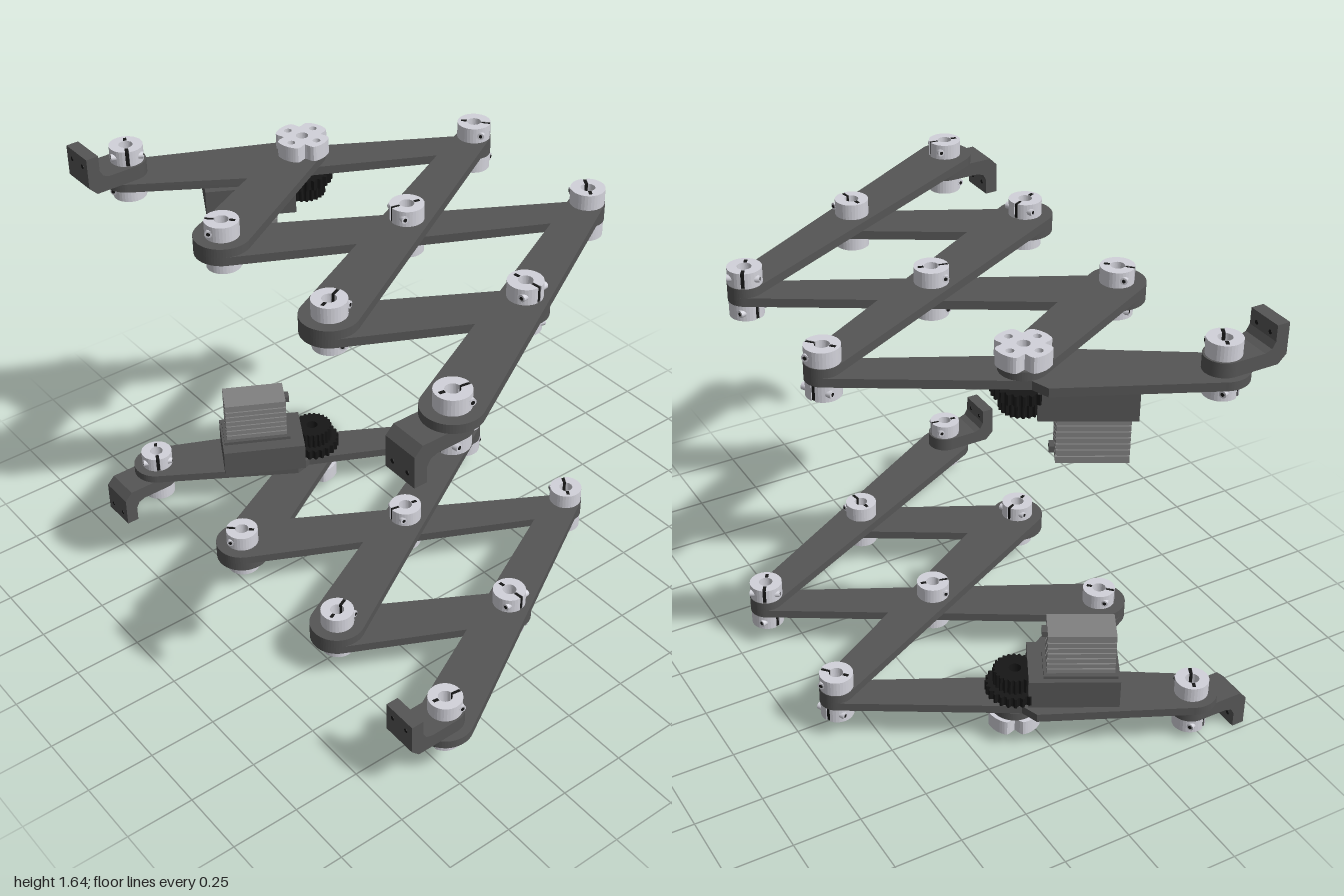
import * as THREE from 'three';

const mat = (color) => new THREE.MeshStandardMaterial({ color });
const DARK = mat(0x555555), LIGHT = mat(0xd2d2da), MID = mat(0x808080), BLACK = mat(0x161616);
const T = 0.032; // thickness of one bar layer
const BORE = 0.022;
const COLLAR_H = 0.057;

function add(parent, name, geo, material, x = 0, y = 0, z = 0) {
  const m = new THREE.Mesh(geo, material);
  m.name = name;
  m.position.set(x, y, z);
  parent.add(m);
  return m;
}

function hole(shape, x, y, r) {
  shape.holes.push(new THREE.Path().absarc(x, y, r, 0, Math.PI * 2, true));
}

// Flat plate lying in xz, rising from y = 0; shape coordinates are (x, -z)
function plate(shape, depth) {
  const g = new THREE.ExtrudeGeometry(shape, { depth, bevelEnabled: false, curveSegments: 16 });
  return g.rotateX(-Math.PI / 2);
}

// Joint grid in plan, [x, z]
const FRONT = [-0.91, -0.31, 0.29, 0.89].map((x) => [x, 0.48]);
const MIDDLE = [-0.61, -0.01, 0.59].map((x) => [x, -0.068]);
const BACK = [-0.31, 0.29].map((x) => [x, -0.618]);

// Tapered bar with round ends and pivot holes
function bar(parent, a, b, ra, rb, y, mid) {
  const ang = Math.atan2(-(b[1] - a[1]), b[0] - a[0]), h = Math.PI / 2;
  const s = new THREE.Shape();
  s.absarc(a[0], -a[1], ra, ang + h, ang + 3 * h, false);
  s.absarc(b[0], -b[1], rb, ang - h, ang + h, false);
  s.closePath();
  for (const p of [a, b, mid]) if (p) hole(s, p[0], -p[1], BORE);
  add(parent, 'linkBar', plate(s, T), DARK, 0, y, 0);
}

// Clamping collar: split ring with a clamp screw and keyway
function collar(parent, p, y, turn) {
  const g = new THREE.Group();
  g.name = 'shaftCollar';
  const s = new THREE.Shape();
  const gap = 0.12, r = 0.06, inner = 0.025;
  s.absarc(0, 0, r, gap, Math.PI * 2 - gap, false);
  s.absarc(0, 0, inner, Math.PI * 2 - gap * 2, gap * 2, true);
  s.closePath();
  add(g, 'collarRing', plate(s, COLLAR_H), LIGHT);
  add(g, 'collarSlot', new THREE.BoxGeometry(0.03, COLLAR_H - 0.004, 0.012), BLACK, 0.042, COLLAR_H / 2, 0);
  add(g, 'collarSlot', new THREE.BoxGeometry(0.02, 0.002, 0.012), BLACK, -0.037, COLLAR_H, 0);
  for (const side of [-1, 1]) {
    const screw = new THREE.CylinderGeometry(0.013, 0.013, 0.02, 12).rotateX(Math.PI / 2);
    add(g, 'clampScrew', screw, LIGHT, 0.034, COLLAR_H / 2, side * 0.046);
    const socket = new THREE.CylinderGeometry(0.007, 0.007, 0.002, 6).rotateX(Math.PI / 2);
    add(g, 'screwSocket', socket, BLACK, 0.034, COLLAR_H / 2, side * 0.0565);
  }
  g.position.set(p[0], y, p[1]);
  g.rotation.y = turn;
  parent.add(g);
}

// Four-lobed drive hub with screw holes
function driveHub(parent, p, y) {
  const s = new THREE.Shape();
  const n = 64;
  for (let i = 0; i < n; i++) {
    const a = (i / n) * Math.PI * 2;
    const r = 0.097 - 0.03 * Math.pow(Math.max(0, -Math.cos(4 * a)), 3);
    s[i ? 'lineTo' : 'moveTo'](r * Math.cos(a), r * Math.sin(a));
  }
  s.closePath();
  hole(s, 0, 0, BORE);
  for (let i = 0; i < 4; i++) {
    const a = (i * Math.PI) / 2;
    hole(s, 0.064 * Math.cos(a), 0.064 * Math.sin(a), 0.014);
  }
  add(parent, 'driveHub', plate(s, COLLAR_H), LIGHT, p[0], y, p[1]).rotation.y = 0.3;
}

// Toothed wheel
function gear(parent, p, y, r, h) {
  const s = new THREE.Shape();
  const teeth = 24;
  for (let i = 0; i < teeth * 4; i++) {
    const a = (i / (teeth * 4)) * Math.PI * 2;
    const q = i % 4 < 2 ? r : r * 0.9;
    s[i ? 'lineTo' : 'moveTo'](q * Math.cos(a), q * Math.sin(a));
  }
  s.closePath();
  hole(s, 0, 0, BORE);
  add(parent, 'gearWheel', plate(s, h), BLACK, p[0], y, p[1]);
}

// Angle bracket: foot on the joint, upright plate at the front
function bracket(parent, p, y, dir) {
  const g = new THREE.Group();
  g.name = 'angleBracket';
  const w = 0.135, t = 0.053;
  const s = new THREE.Shape();
  const pts = [[0, 0], [0.165, 0], [0.195, 0.03], [0.195, 0.143], [0.148, 0.143], [0.148, 0.085], [0.135, 0.062], [0.11, t], [0, t]];
  pts.forEach(([z, h], i) => s[i ? 'lineTo' : 'moveTo'](z, h * dir));
  s.closePath();
  const geo = new THREE.ExtrudeGeometry(s, { depth: w, bevelEnabled: false });
  add(g, 'bracketBody', geo.rotateY(-Math.PI / 2), DARK, w / 2);
  add(g, 'bracketEnd', new THREE.CylinderGeometry(w / 2, w / 2, t, 32), DARK, 0, (dir * t) / 2, 0);
  for (const x of [-0.035, 0.035]) {
    const dot = new THREE.CylinderGeometry(0.008, 0.008, 0.049, 12).rotateX(Math.PI / 2);
    add(g, 'screwHole', dot, BLACK, x, dir * 0.105, 0.1715);
  }
  g.position.set(p[0], y, p[1]);
  parent.add(g);
}

// Wide drive link with motor housing and motor; dir is the motor side
function driveLink(parent, y, dir) {
  const g = new THREE.Group();
  g.name = 'driveLink';
  const len = Math.hypot(0.6, 1.098), mid = len / 2;
  const s = new THREE.Shape();
  s.absarc(0, 0, 0.092, Math.PI / 2, Math.PI * 1.5, false);
  s.lineTo(0.55, -0.125);
  s.lineTo(0.6, -0.08);
  s.absarc(len, 0, 0.062, -Math.PI / 2, Math.PI / 2, false);
  s.lineTo(0.6, 0.08);
  s.lineTo(0.55, 0.125);
  s.closePath();
  for (const x of [0, mid, len]) hole(s, x, 0, BORE);
  add(g, 'linkPlate', plate(s, T), DARK);

  // Heights below are measured outward from the plate's motor face
  const base = dir > 0 ? T : 0;
  const at = (h) => base + dir * h;
  add(g, 'motorHousing', new THREE.BoxGeometry(0.32, 0.112, 0.222), DARK, 0.42, at(0.056), 0.025);
  add(g, 'motorFlange', new THREE.BoxGeometry(0.26, 0.012, 0.15), DARK, 0.398, at(0.118), 0.008);
  add(g, 'motorCore', new THREE.BoxGeometry(0.225, 0.17, 0.114), MID, 0.398, at(0.2), 0.008);
  for (let i = 0; i < 6; i++)
    add(g, 'motorFin', new THREE.BoxGeometry(0.238, 0.017, 0.126), MID, 0.398, at(0.137 + i * 0.0225), 0.008);
  add(g, 'motorCap', new THREE.BoxGeometry(0.238, 0.024, 0.126), MID, 0.398, at(0.277), 0.008);
  add(g, 'cableOutlet', new THREE.BoxGeometry(0.02, 0.022, 0.04), DARK, 0.525, at(0.265), 0.008);
  g.position.set(FRONT[0][0], y, FRONT[0][1]);
  g.rotation.y = Math.atan2(1.098, 0.6);
  parent.add(g);

  const low = (a, b) => Math.min(y + at(a), y + at(b));
  gear(parent, MIDDLE[0], low(0.012, 0.05), 0.105, 0.038);
  gear(parent, MIDDLE[0], low(0.05, 0.108), 0.078, 0.058);
}

// One scissor linkage; y is the bottom of the drive link layer
function linkage(name, y, dir) {
  const g = new THREE.Group();
  g.name = name;
  const up = y + T, top = y + 2 * T;
  const short = dir < 0 ? up : y - T; // short bar sits opposite the motor
  const wide = 0.1, narrow = 0.062, half = 0.082;

  driveLink(g, y, dir);
  bar(g, FRONT[1], BACK[1], wide, narrow, y, MIDDLE[1]);
  bar(g, FRONT[2], MIDDLE[2], wide, half, y);
  bar(g, FRONT[2], BACK[0], wide, narrow, up, MIDDLE[1]);
  bar(g, FRONT[3], BACK[1], wide, narrow, up, MIDDLE[2]);
  bar(g, FRONT[1], MIDDLE[0], wide, half, short);

  // Collars above and below each joint
  let k = 0;
  const pair = (p, lo, hi) => {
    collar(g, p, hi, 0.7 + k * 1.9);
    collar(g, p, lo - COLLAR_H, 2.1 + k++ * 1.3);
  };
  for (const p of [BACK[0], BACK[1], MIDDLE[1], MIDDLE[2], FRONT[2]]) pair(p, y, top);
  pair(FRONT[1], Math.min(y, short), Math.max(up, short + T));
  driveHub(g, MIDDLE[0], dir < 0 ? top : short - COLLAR_H);

  // End brackets: left one away from the motor, right one towards it
  const foot = 0.053;
  bracket(g, FRONT[0], dir < 0 ? up : y, -dir);
  bracket(g, FRONT[3], dir < 0 ? up : top, dir);
  if (dir < 0) {
    pair(FRONT[0], y, up + foot);
    pair(FRONT[3], up - foot, top);
  } else {
    pair(FRONT[0], y - foot, up);
    pair(FRONT[3], up, top + foot);
  }
  return g;
}

export function createModel() {
  const model = new THREE.Group();
  model.name = 'scissorLinkages';
  model.add(linkage('upperLinkage', 1.471, -1));
  model.add(linkage('lowerLinkage', 0.148, 1));
  return model;
}
